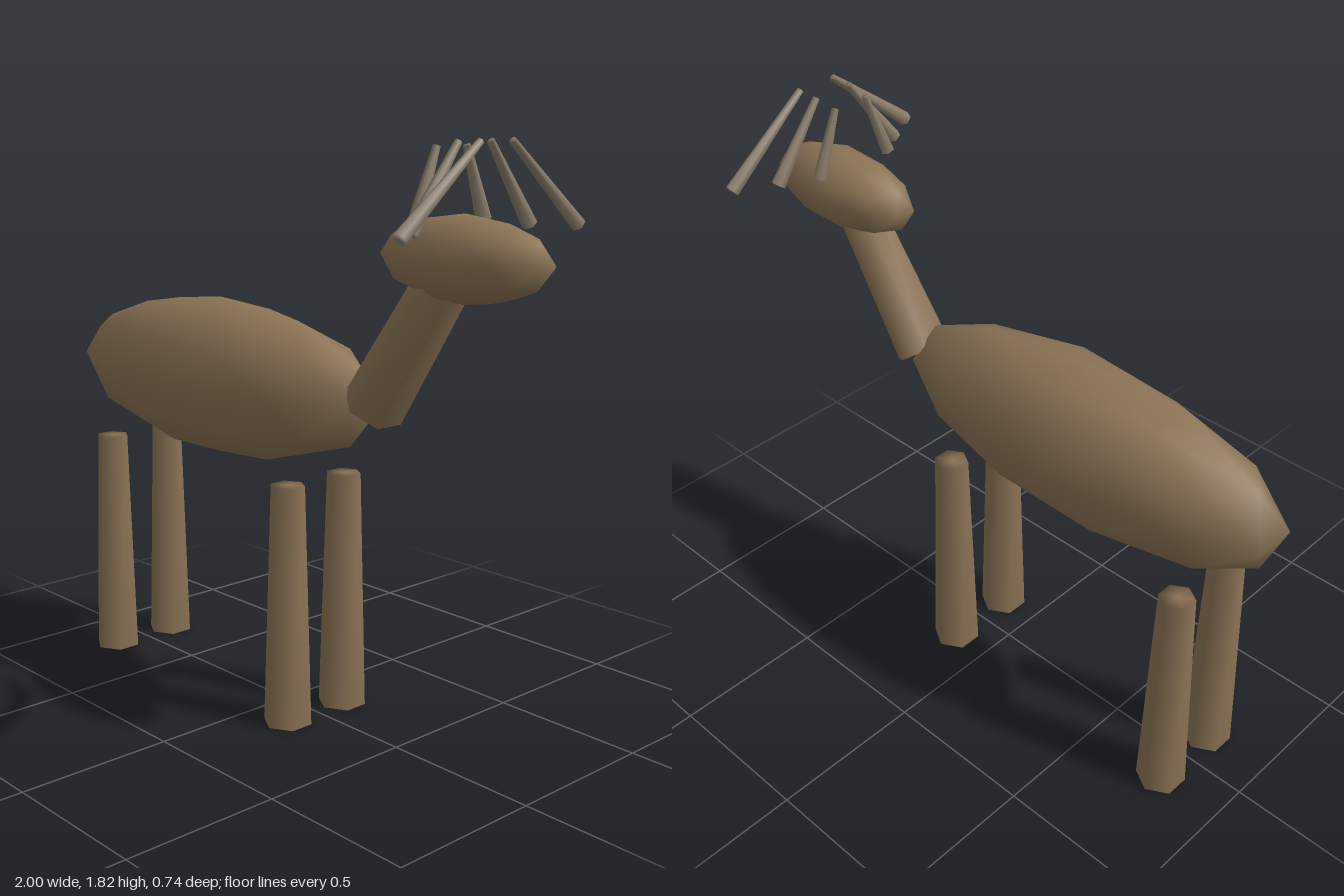
import * as THREE from 'three';
import { mergeVertices } from 'three/addons/utils/BufferGeometryUtils.js';

const fur = new THREE.MeshStandardMaterial({ color: 0x8b7355 });
fur.name = 'brown fur';
const horn = new THREE.MeshStandardMaterial({ color: 0x8b7d6b });
horn.name = 'grey antler';

// Low-poly ellipsoid with a vertex at its top and smooth normals
function ellipsoid(name, centre, radii) {
  const geo = new THREE.IcosahedronGeometry(1, 1);
  geo.rotateZ(-Math.atan2(1, (1 + Math.sqrt(5)) / 2));
  geo.scale(...radii);
  const mesh = new THREE.Mesh(geo, fur);
  mesh.name = name;
  mesh.position.set(...centre);
  return mesh;
}

// Six-sided tapered rod between two points, shaded smoothly over its ends
function rod(name, from, to, rFrom, rTo, material) {
  const a = new THREE.Vector3(...from);
  const b = new THREE.Vector3(...to);
  const dir = b.clone().sub(a);
  let geo = new THREE.CylinderGeometry(rTo, rFrom, dir.length(), 6);
  geo.deleteAttribute('uv');
  geo.deleteAttribute('normal');
  geo = mergeVertices(geo, 1e-4);
  geo.computeVertexNormals();
  const mesh = new THREE.Mesh(geo, material);
  mesh.name = name;
  mesh.position.copy(a).add(b).multiplyScalar(0.5);
  mesh.quaternion.setFromUnitVectors(new THREE.Vector3(0, 1, 0), dir.normalize());
  return mesh;
}

export function createModel() {
  const model = new THREE.Group();
  model.name = 'deer';

  // Body, neck and head; the animal looks along +x
  model.add(ellipsoid('body', [-0.32, 1.032, 0], [0.715, 0.258, 0.22]));
  model.add(rod('neck', [0.382, 1.031, 0], [0.663, 1.445, 0], 0.095, 0.078, fur));
  model.add(ellipsoid('head', [0.72, 1.492, 0], [0.294, 0.123, 0.125]));

  // Antler prongs: x, then z and y of the thick end, then z and y of the thin end
  const prongs = [
    [0.665, 0.138, 1.59, 0.06, 1.793],
    [0.745, 0.239, 1.575, 0.064, 1.806],
    [0.82, 0.358, 1.573, 0.064, 1.808],
  ];

  for (const side of [1, -1]) {
    // Legs
    model.add(rod('frontLeg', [0.14, 0, side * 0.118], [0.14, 0.77, side * 0.118], 0.078, 0.055, fur));
    model.add(rod('backLeg', [-0.778, 0, side * 0.118], [-0.778, 0.77, side * 0.118], 0.078, 0.055, fur));
    // Antlers
    for (const [x, z0, y0, z1, y1] of prongs) {
      model.add(rod('antlerProng', [x, y0, side * z0], [x, y1, side * z1], 0.023, 0.011, horn));
    }
  }
  return model;
}
